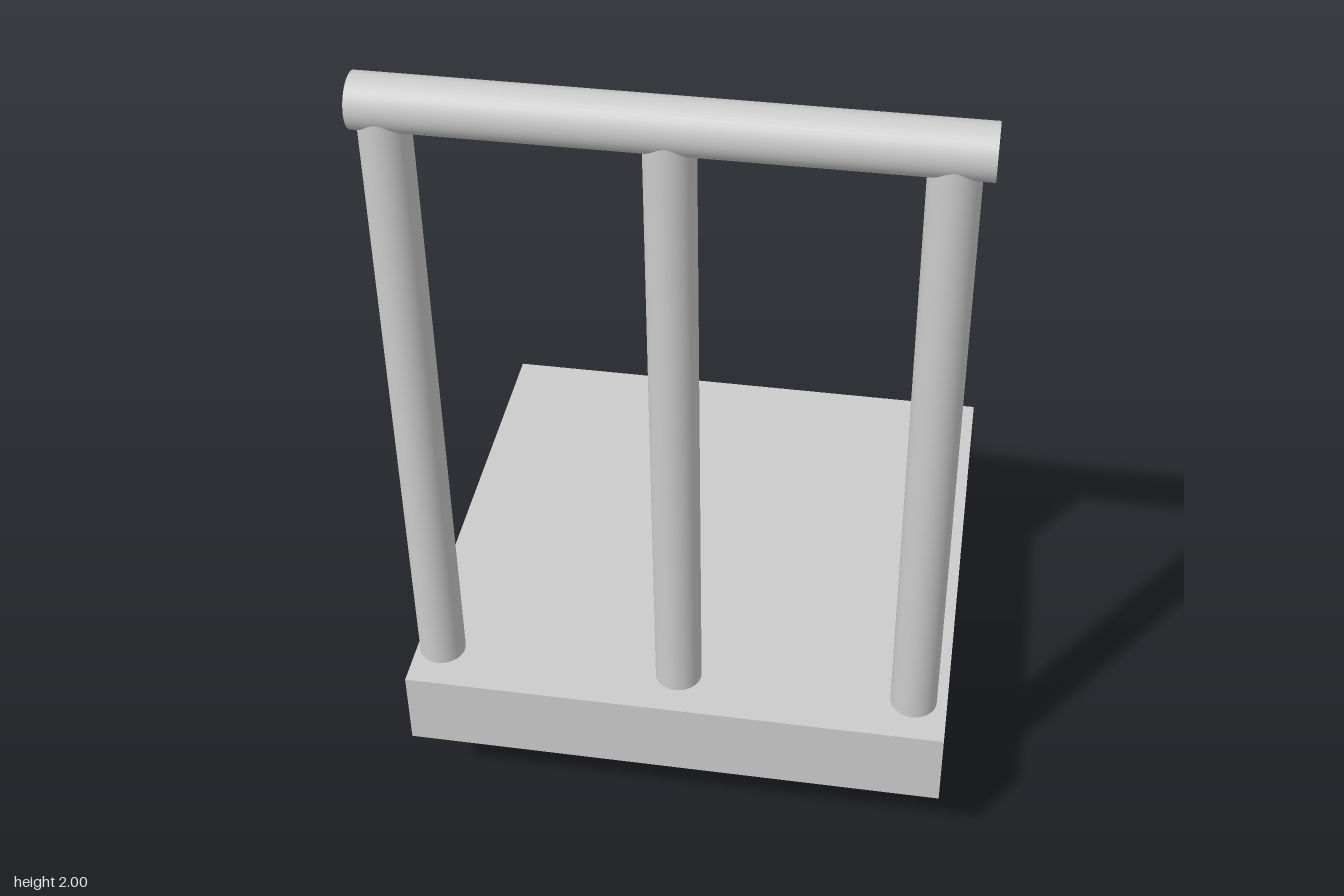
import * as THREE from 'three';

const WIDTH = 1.29;
const RAIL_Z = 0.68;

export function createModel() {
  const model = new THREE.Group();
  const material = new THREE.MeshStandardMaterial({ color: 0xcccccc, side: THREE.DoubleSide });

  const add = (parent, name, geometry, x, y, z) => {
    const mesh = new THREE.Mesh(geometry, material);
    mesh.name = name;
    mesh.position.set(x, y, z);
    parent.add(mesh);
    return mesh;
  };

  // Folded sheet steps: thin panels between successive (z, y) profile points
  const steps = new THREE.Group();
  steps.name = 'steps';
  model.add(steps);
  const profile = [[-0.44, 0.398], [0.8, 0.398], [0.8, 0.2], [0.37, 0.2], [0.37, 0], [-0.805, 0]];
  const names = ['upperTread', 'upperRiser', 'upperReturn', 'lowerRiser', 'lowerTread'];
  names.forEach((name, i) => {
    const [z0, y0] = profile[i];
    const [z1, y1] = profile[i + 1];
    const flat = y0 === y1;
    const geometry = new THREE.PlaneGeometry(WIDTH, Math.abs(flat ? z1 - z0 : y1 - y0));
    if (flat) geometry.rotateX(name === 'upperReturn' ? Math.PI / 2 : -Math.PI / 2);
    add(steps, name, geometry, 0, (y0 + y1) / 2, (z0 + z1) / 2);
  });

  // Railing of open tubes: three posts, their feet just passing through the tread
  const railing = new THREE.Group();
  railing.name = 'railing';
  model.add(railing);
  const bottom = 0.386, top = 1.928;
  const postGeometry = new THREE.CylinderGeometry(0.055, 0.055, top - bottom, 40, 1, true);
  for (const [name, x] of [['rightPost', -0.583], ['middlePost', 0], ['leftPost', 0.565]]) {
    add(railing, name, postGeometry, x, (top + bottom) / 2, RAIL_Z);
  }

  // Handrail, open at both ends
  const handrail = new THREE.CylinderGeometry(0.06, 0.06, WIDTH, 40, 1, true).rotateZ(Math.PI / 2);
  add(railing, 'handrail', handrail, 0, 1.94, RAIL_Z);

  return model;
}
